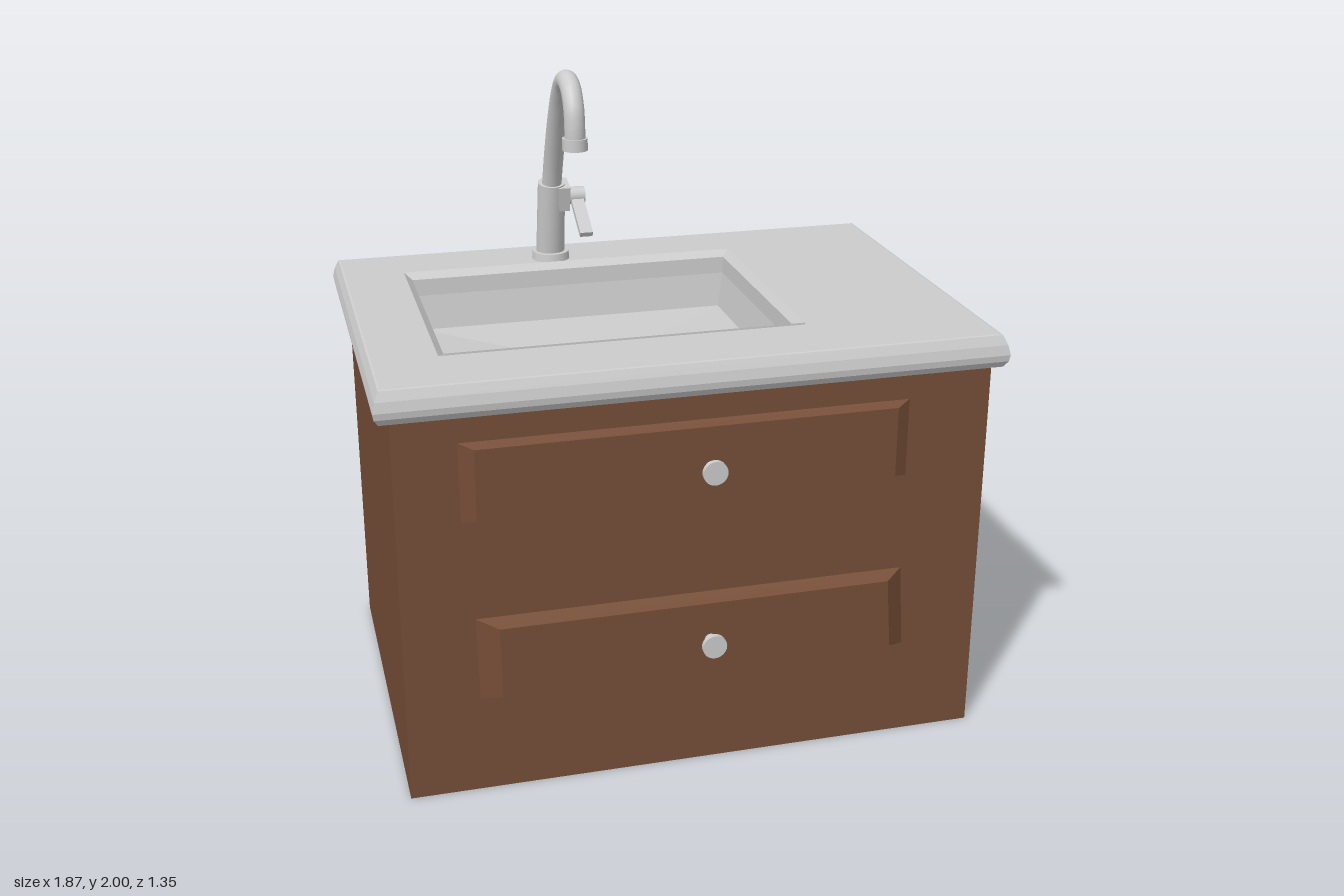
import * as THREE from 'three';

const grey = new THREE.MeshStandardMaterial({ color: 0xcccccc });
const greyFlat = new THREE.MeshStandardMaterial({ color: 0xcccccc, flatShading: true, side: THREE.DoubleSide });
const wood = new THREE.MeshStandardMaterial({ color: 0x754d36, flatShading: true, side: THREE.DoubleSide });

const v = (x, y, z) => new THREE.Vector3(x, y, z);

function add(parent, name, geometry, material) {
  const mesh = new THREE.Mesh(geometry, material);
  mesh.name = name;
  parent.add(mesh);
  return mesh;
}

// Horizontal rectangle as a loop of four corners
const rect = (x0, x1, z0, z1, y) => [[x0, y, z1], [x1, y, z1], [x1, y, z0], [x0, y, z0]];

// A loop collapsed to one point, used to close a loft
const point = (x, y, z) => Array(4).fill([x, y, z]);

// Joins successive four-cornered loops with faces
function loft(rings) {
  const pos = [];
  for (let r = 0; r + 1 < rings.length; r++) {
    const a = rings[r], b = rings[r + 1];
    for (let i = 0; i < 4; i++) {
      const j = (i + 1) % 4;
      pos.push(...a[i], ...a[j], ...b[j]);
      if (b[i] !== b[j]) pos.push(...a[i], ...b[j], ...b[i]);
    }
  }
  const g = new THREE.BufferGeometry();
  g.setAttribute('position', new THREE.Float32BufferAttribute(pos, 3));
  g.computeVertexNormals();
  return g;
}

// Cylinder running between two points
function rod(parent, name, from, to, r0, r1 = r0, sides = 24) {
  const dir = to.clone().sub(from);
  const mesh = add(parent, name, new THREE.CylinderGeometry(r1, r0, dir.length(), sides), grey);
  mesh.position.copy(from).lerp(to, 0.5);
  mesh.quaternion.setFromUnitVectors(v(0, 1, 0), dir.normalize());
  return mesh;
}

// Raised bevelled drawer front; loops run counter-clockwise from bottom left
function drawer(parent, name, outer, inner, depth, knobY) {
  const group = new THREE.Group();
  group.name = name;
  parent.add(group);
  const z = 0.59, front = z + depth, knobX = 0.02;
  const at = (loop, d) => loop.map(([x, y]) => [x, y, d]);
  const cx = (inner[0][0] + inner[1][0]) / 2, cy = (inner[0][1] + inner[2][1]) / 2;
  add(group, 'drawerFront', loft([at(outer, z), at(inner, front), point(cx, cy, front)]), wood);
  const tip = front + 0.04;
  rod(group, 'knobStem', v(knobX, knobY, front - 0.005), v(knobX, knobY, tip), 0.018);
  rod(group, 'knobCap', v(knobX, knobY, tip - 0.003), v(knobX, knobY, tip + 0.012), 0.037);
}

export function createModel() {
  const model = new THREE.Group();
  model.name = 'sinkVanity';

  // Cabinet, open at the top so the basin can hang inside
  const cabinet = loft([
    point(0, 0, -0.02),
    rect(-0.89, 0.89, -0.635, 0.59, 0),
    rect(-0.89, 0.89, -0.635, 0.59, 1.215),
  ]);
  add(model, 'cabinet', cabinet, wood);

  // Drawers
  drawer(model, 'upperDrawer',
    [[-0.705, 0.885], [0.635, 0.885], [0.635, 1.13], [-0.705, 1.13]],
    [[-0.663, 0.897], [0.592, 0.897], [0.592, 1.115], [-0.663, 1.115]], 0.025, 0.99);
  drawer(model, 'lowerDrawer',
    [[-0.67, 0.31], [0.655, 0.31], [0.637, 0.575], [-0.675, 0.575]],
    [[-0.61, 0.33], [0.597, 0.33], [0.58, 0.555], [-0.612, 0.555]], 0.042, 0.435);

  // Countertop slab with a rounded edge and a cut-out for the basin
  const slab = (inset, y) => rect(-0.935 + inset, 0.935 - inset, -0.67 + inset, 0.62 - inset, y);
  add(model, 'countertop', loft([
    slab(0.06, 1.21), slab(0.015, 1.21), slab(0.003, 1.23), slab(0, 1.25),
    slab(0.007, 1.28), slab(0.02, 1.308), slab(0.026, 1.31),
    rect(-0.72, 0.38, -0.43, 0.37, 1.31),
  ]), greyFlat);

  // Basin: thin raised rim, steep walls, floor falling to the drain
  const bowl = (inset, y) => rect(-0.72 + inset, 0.38 - inset, -0.43 + inset, 0.37 - inset, y);
  add(model, 'basin', loft([
    bowl(0, 1.305), bowl(0, 1.316), bowl(0.022, 1.295), bowl(0.024, 1.24),
    bowl(0.045, 1.13), point(-0.175, 1.09, -0.03),
  ]), greyFlat);
  const drain = add(model, 'drain', new THREE.CylinderGeometry(0.058, 0.058, 0.014, 8), greyFlat);
  drain.position.set(-0.175, 1.097, -0.03);

  // Faucet
  const faucet = new THREE.Group();
  faucet.name = 'faucet';
  faucet.position.x = -0.22;
  model.add(faucet);
  rod(faucet, 'faucetBase', v(0, 1.305, -0.5), v(0, 1.336, -0.5), 0.063, 0.06);
  rod(faucet, 'faucetBody', v(0, 1.33, -0.506), v(0, 1.58, -0.457), 0.047, 0.045);
  const path = new THREE.CatmullRomCurve3([
    [1.55, -0.463], [1.64, -0.428], [1.73, -0.385], [1.82, -0.335], [1.9, -0.28],
    [1.953, -0.225], [1.968, -0.175], [1.95, -0.12], [1.9, -0.083], [1.85, -0.073], [1.79, -0.073],
  ].map(([y, z]) => v(0, y, z)));
  add(faucet, 'spout', new THREE.TubeGeometry(path, 48, 0.032, 20), grey);
  rod(faucet, 'spoutTip', v(0, 1.775, -0.073), v(0, 1.812, -0.073), 0.039);

  // Lever handle on the left side of the body
  const plate = add(faucet, 'handlePlate', new THREE.BoxGeometry(0.04, 0.085, 0.075), grey);
  plate.position.set(0.035, 1.535, -0.46);
  plate.rotation.x = 0.25;
  rod(faucet, 'handleHub', v(0.04, 1.528, -0.468), v(0.11, 1.528, -0.468), 0.029);
  const lever = add(faucet, 'lever', new THREE.BoxGeometry(0.042, 0.018, 0.175), grey);
  lever.position.set(0.083, 1.48, -0.385);
  lever.rotation.x = 0.52;

  return model;
}
